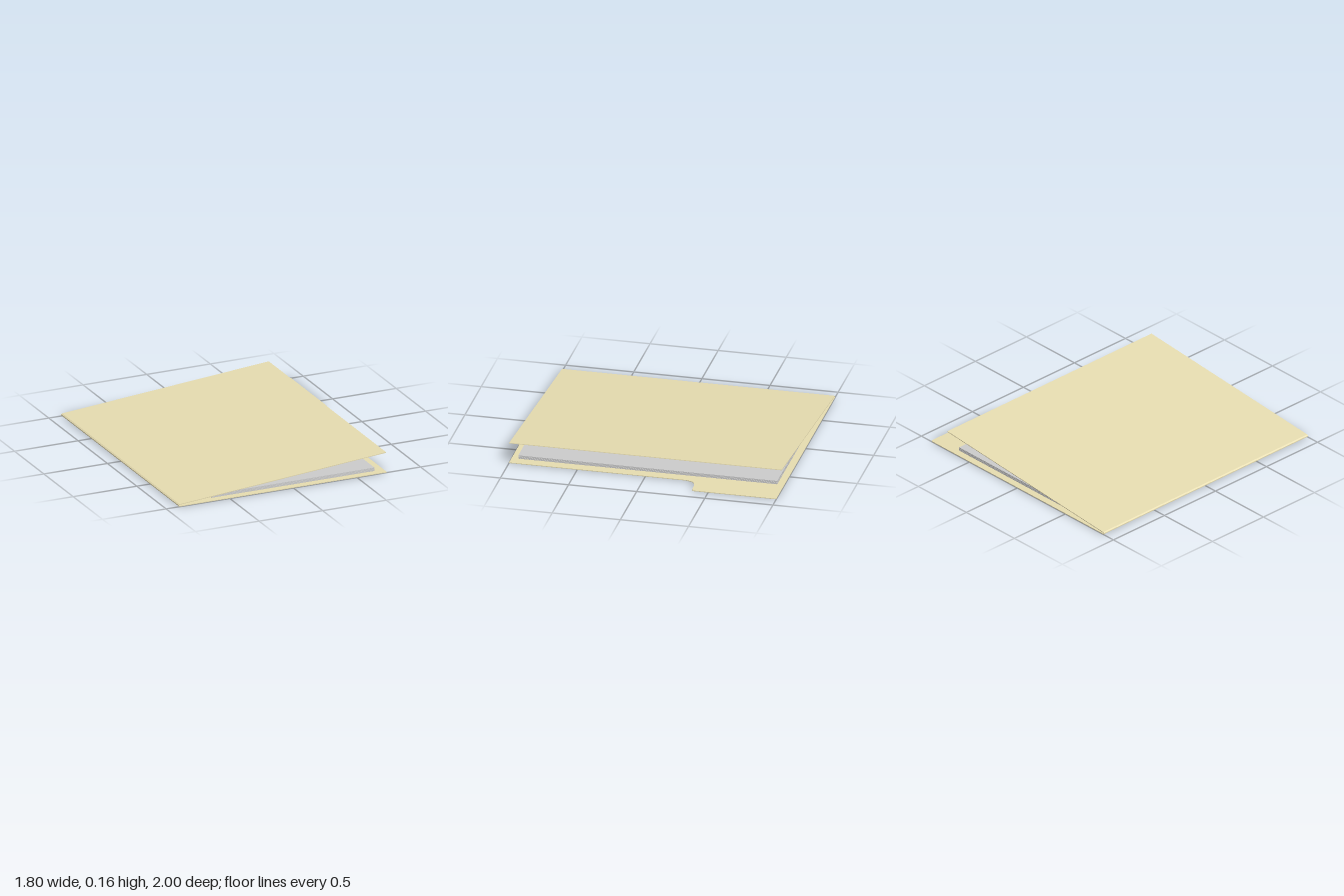
import * as THREE from 'three';

const manila = new THREE.MeshStandardMaterial({ color: 0xe6dcb0, side: THREE.DoubleSide });
const paper = new THREE.MeshStandardMaterial({ color: 0xcccccc });

const toShape = (points) => new THREE.Shape(points.map(([x, y]) => new THREE.Vector2(x, y)));

function addMesh(group, name, geometry, material) {
  const mesh = new THREE.Mesh(geometry, material);
  mesh.name = name;
  group.add(mesh);
  return mesh;
}

export function createModel() {
  const folder = new THREE.Group();
  folder.name = 'fileFolder';
  const T = 0.005; // card thickness

  // Back cover with the tab, outlined in (x, -z) and laid flat
  const back = new THREE.ExtrudeGeometry(toShape([
    [-0.895, -1], [0.735, -1], [0.735, 0.3], [0.755, 0.355], [0.8, 0.375], [0.885, 0.38],
    [0.9, 0.387], [0.9, 0.985], [0.895, 0.996], [0.885, 1], [-0.895, 1],
  ]), { depth: T, bevelEnabled: false });
  back.rotateX(-Math.PI / 2);
  addMesh(folder, 'backCover', back, manila);

  // Folded spine running up into the slightly open front cover
  const front = new THREE.ExtrudeGeometry(toShape([
    [-0.895, 0], [-0.903, 0.006], [-0.903, 0.013], [-0.893, 0.019],
    [0.729, 0.157], [0.73, 0.152], [-0.891, 0.014], [-0.898, 0.011], [-0.898, 0.008], [-0.895, T],
  ]), { depth: 2, bevelEnabled: false });
  front.translate(0, 0, -1);
  addMesh(folder, 'frontCoverAndSpine', front, manila);

  // Stack of loose sheets with hairline gaps
  const stack = new THREE.Group();
  stack.name = 'paperStack';
  const sheets = 5, pitch = 0.0054;
  for (let i = 0; i < sheets; i++) {
    const sheet = addMesh(stack, 'sheet', new THREE.BoxGeometry(1.28, 0.0046, 1.9), paper);
    sheet.position.set(0.02, 0.009 + i * pitch, 0);
  }
  folder.add(stack);
  return folder;
}
